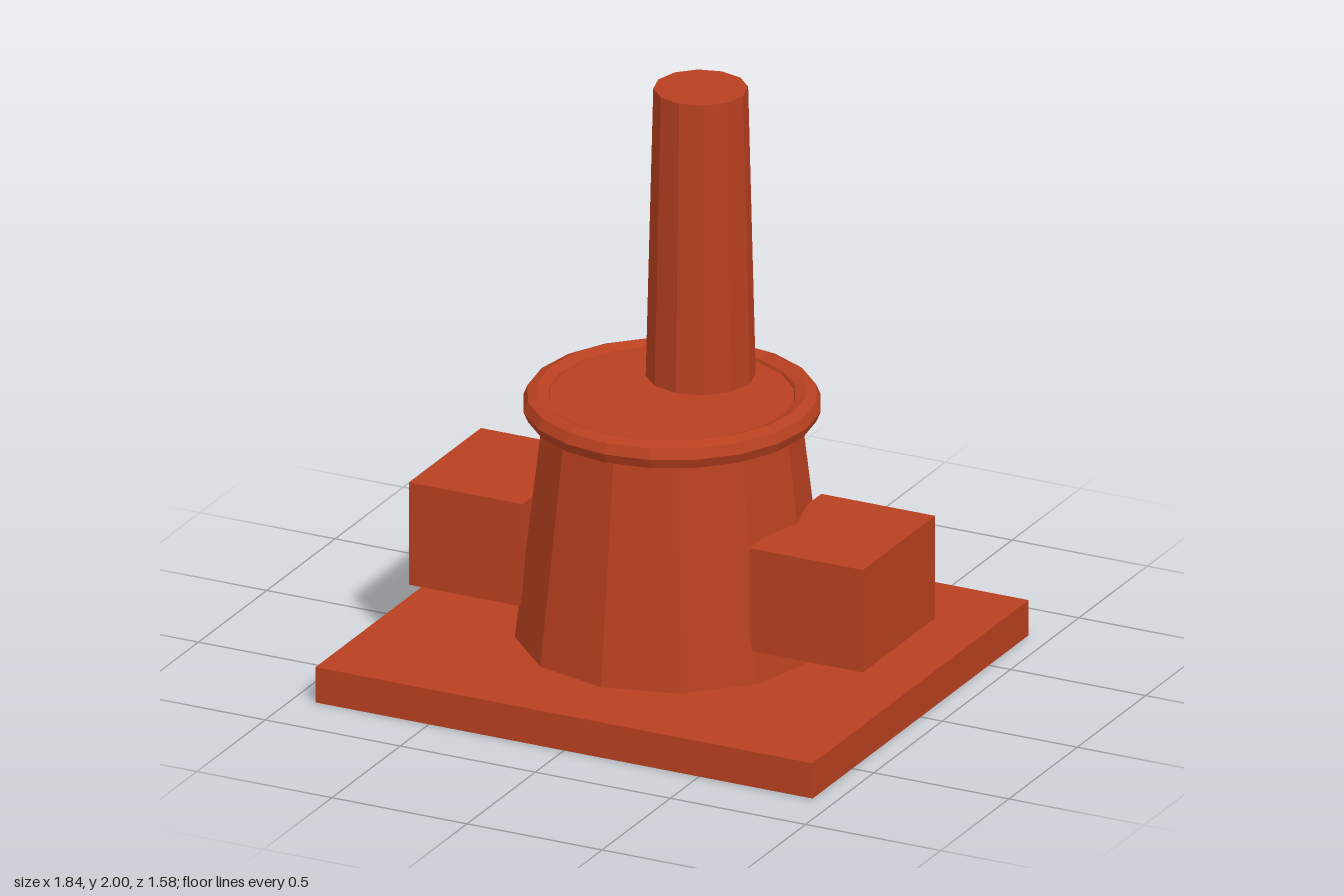
import * as THREE from 'three';

export function createModel() {
  const model = new THREE.Group();
  model.name = 'chimneyTower';

  const rust = new THREE.MeshStandardMaterial({ color: 0xb84020, flatShading: true });
  rust.name = 'rust red';

  const add = (name, geometry, x, y, z) => {
    const mesh = new THREE.Mesh(geometry, rust);
    mesh.name = name;
    mesh.position.set(x, y, z);
    model.add(mesh);
    return mesh;
  };

  // Ground slab
  add('basePlate', new THREE.BoxGeometry(1.84, 0.126, 1.58), 0, 0.063, 0);

  // Tapered twelve-sided body
  const bottom = 0.126, top = 0.975;
  add('body', new THREE.CylinderGeometry(0.42, 0.52, top - bottom, 12), 0, (top + bottom) / 2, 0);

  // Rounded rim around the body's top
  add('rim', new THREE.TorusGeometry(0.447, 0.05, 8, 20).rotateX(-Math.PI / 2), 0, 0.95, 0);

  // Chimney, set toward the back
  add('chimney', new THREE.CylinderGeometry(0.157, 0.182, 2 - top, 12), 0, (2 + top) / 2, -0.21);

  // Side blocks, mirrored
  for (const [name, side] of [['leftBlock', 1], ['rightBlock', -1]]) {
    add(name, new THREE.BoxGeometry(0.42, 0.366, 0.526), side * 0.63, 0.424, 0);
  }

  return model;
}
